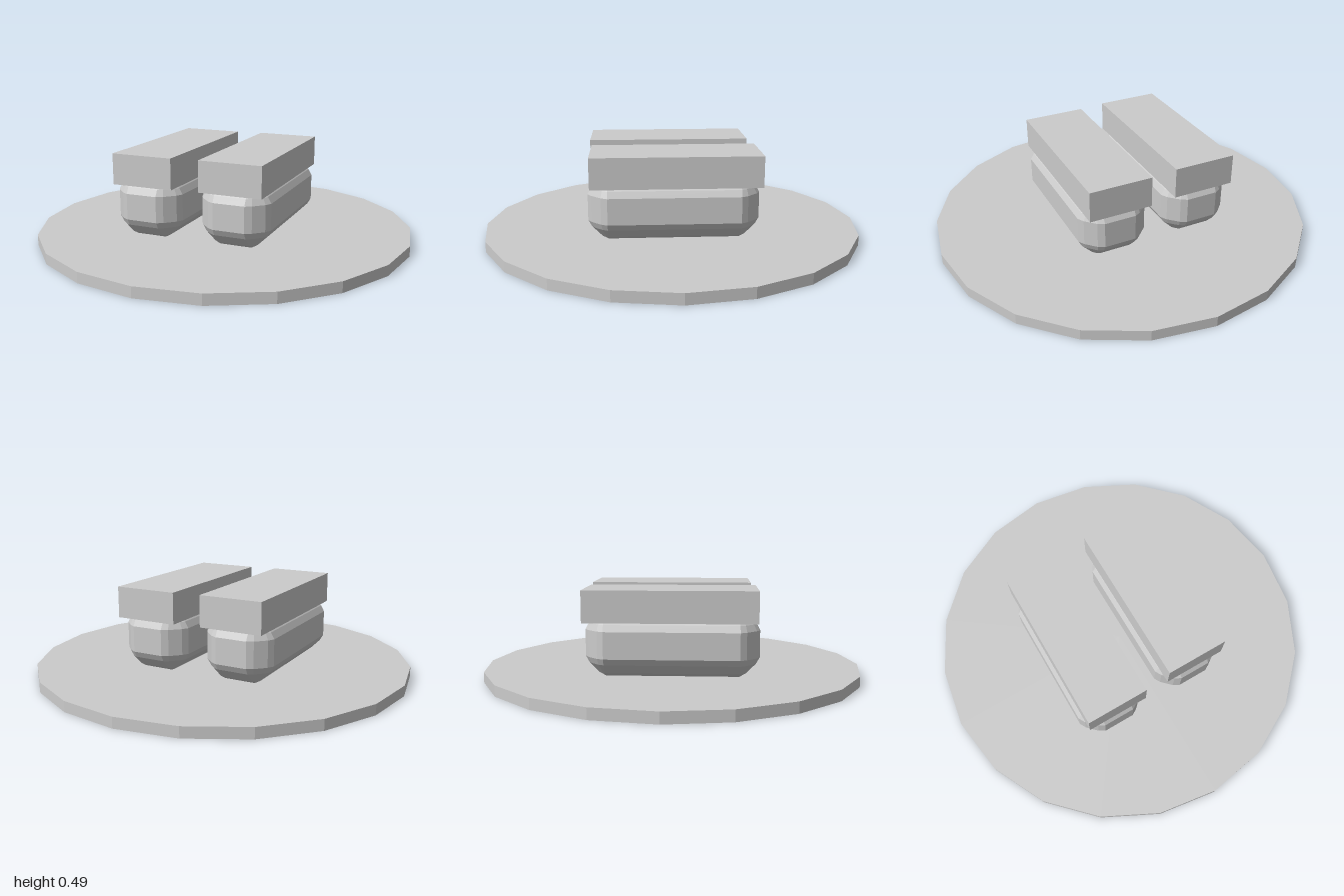
import * as THREE from 'three';
import { ConvexGeometry } from 'three/addons/geometries/ConvexGeometry.js';

const material = new THREE.MeshStandardMaterial({ color: 0xcccccc, flatShading: true });

function addMesh(parent, name, geometry, x, y, z) {
  const mesh = new THREE.Mesh(geometry, material);
  mesh.name = name;
  mesh.position.set(x, y, z);
  parent.add(mesh);
}

// Box with faceted, chamfer-like rounding on every edge and corner
function bevelledBlock(width, height, length, r) {
  const profile = [[1, 0], [0.82, 0.32], [0.32, 0.82], [0, 1]];
  const points = [];
  for (const sx of [-1, 1]) for (const sy of [-1, 1]) for (const sz of [-1, 1]) {
    for (const [out, up] of profile) {
      const corner = out === 0 ? [[0, 0]] : profile;
      for (const [px, pz] of corner) {
        points.push(new THREE.Vector3(
          sx * (width / 2 - r + px * out * r),
          sy * (height / 2 - r + up * r),
          sz * (length / 2 - r + pz * out * r)));
      }
    }
  }
  return new ConvexGeometry(points);
}

export function createModel() {
  const model = new THREE.Group();
  model.name = 'sushiPlate';

  // Flat twenty-sided plate
  addMesh(model, 'plate', new THREE.CylinderGeometry(1, 1, 0.055, 20), 0, 0.0275, 0);

  // Two pieces: a rounded rice block with a slab on top
  const pieces = [
    { name: 'rightSushi', x: -0.264, riceZ: 0.017, slabZ: 0.008 },
    { name: 'leftSushi', x: 0.205, riceZ: 0.003, slabZ: -0.008 },
  ];
  for (const { name, x, riceZ, slabZ } of pieces) {
    const piece = new THREE.Group();
    piece.name = name;
    addMesh(piece, 'rice', bevelledBlock(0.365, 0.335, 0.865, 0.1), x, 0.2225, riceZ);
    addMesh(piece, 'topping', new THREE.BoxGeometry(0.328, 0.16, 0.862), x, 0.41, slabZ);
    model.add(piece);
  }
  return model;
}
